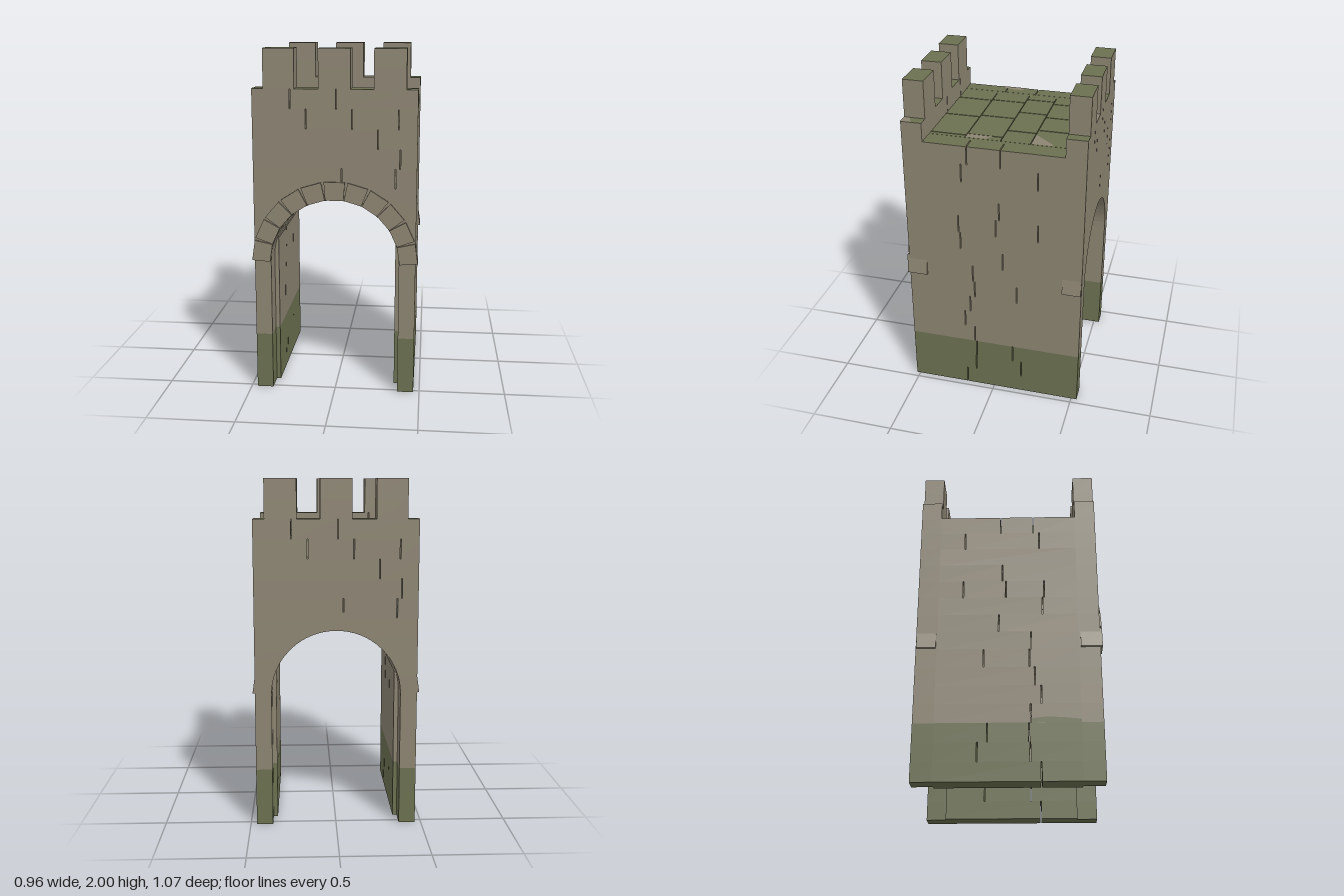
import * as THREE from 'three';

const ROW = 1 / 9;          // height of one stone course
const HALF = 0.465;         // half width of the gatehouse
const SPRING = 0.78;        // height where the arch begins
const RADIUS = 0.37;        // arch radius
const GAP = 0.006;          // open joint between stones
const FRONT = [0.40, 0.522], BACK = [-0.535, -0.415];

export function createModel() {
  const stone = new THREE.MeshStandardMaterial({ color: 0x8c8472 });
  stone.name = 'stone';
  const moss = new THREE.MeshStandardMaterial({ color: 0x6b7050 });
  moss.name = 'moss';
  const mossTop = [stone, stone, moss, stone, stone, stone];

  const model = new THREE.Group();
  model.name = 'gatehouse';
  const section = (name) => {
    const g = new THREE.Group();
    g.name = name;
    model.add(g);
    return g;
  };
  const add = (parent, name, geometry, material) => {
    const mesh = new THREE.Mesh(geometry, material);
    mesh.name = name;
    parent.add(mesh);
    return mesh;
  };
  const block = (parent, name, x0, x1, y0, y1, z0, z1, material) => {
    const geo = new THREE.BoxGeometry(x1 - x0, y1 - y0, z1 - z0);
    geo.translate((x0 + x1) / 2, (y0 + y1) / 2, (z0 + z1) / 2);
    return add(parent, name, geo, material);
  };
  const extrude = (points, z0, z1) => {
    const shape = new THREE.Shape(points.map(([x, y]) => new THREE.Vector2(x, y)));
    const geo = new THREE.ExtrudeGeometry(shape, { depth: z1 - z0, bevelEnabled: false });
    return geo.translate(0, 0, z0);
  };
  // Splits a span at its joints, leaving a narrow gap at each
  const spans = (a, b, joints) => {
    const cuts = [a, ...[...joints].sort((p, q) => p - q), b];
    return cuts.slice(1).map((end, i) => [
      cuts[i] + (i ? GAP / 2 : 0),
      end - (i < joints.length ? GAP / 2 : 0),
    ]);
  };
  const rowMaterial = (k) => (k < 3 ? moss : stone);
  const archX = (y) => Math.sqrt(Math.max(0, RADIUS ** 2 - (y - SPRING) ** 2));

  // Front and back walls: jambs, courses cut by the arch, courses above, battlements
  const upperJoints = {
    11: [0.04, 0.345], 12: [0.37], 13: [0.245], 14: [-0.16, 0.10, 0.36], 15: [-0.25, 0.01],
  };
  const endWall = (name, [z0, z1], flip) => {
    const wall = section(name);
    for (let k = 0; k < 16; k++) {
      const y0 = k * ROW, y1 = y0 + ROW;
      if (k < 7) {
        block(wall, 'jambStone', -HALF, -RADIUS, y0, y1, z0, z1, rowMaterial(k));
        block(wall, 'jambStone', RADIUS, HALF, y0, y1, z0, z1, rowMaterial(k));
      } else if (k < 11) {
        const top = Math.min(y1, SPRING + RADIUS);
        for (const s of [-1, 1]) {
          const pts = [[s * HALF, y0], [s * HALF, y1]];
          if (y1 > top) pts.push([0, y1]);
          for (let i = 0; i <= 5; i++) {
            const y = top + (y0 - top) * (i / 5) ** 2;
            pts.push([s * (y < SPRING ? RADIUS : archX(y)), y]);
          }
          add(wall, 'archCourseStone', extrude(pts, z0, z1), stone);
        }
      } else {
        const joints = upperJoints[k].map((x) => x * flip);
        for (const [a, b] of spans(-HALF, HALF, joints)) {
          block(wall, 'wallStone', a, b, y0, y1, z0, z1, k === 15 ? mossTop : stone);
        }
      }
    }
    for (const [a, b] of [[-0.40, -0.225], [-0.09, 0.09], [0.22, 0.40]]) {
      block(wall, 'merlonLower', a, b, 16 * ROW, 17 * ROW, z0, z1, stone);
      block(wall, 'merlonUpper', a, b, 17 * ROW, 2, z0, z1, mossTop);
    }
  };
  endWall('frontWall', FRONT, 1);
  endWall('backWall', BACK, -1);

  // Side walls, slightly thicker below the spring of the vault
  const sideJoints = [
    [0.175], [0.115, -0.175], [0.11, -0.12], [0.12], [0.18], [0.145], [0.115, -0.145],
    [0.125], [-0.06], [0.195], [0.205, -0.02, -0.27], [-0.04], [], [0.18, -0.265], [0.145, -0.05],
  ];
  for (const s of [-1, 1]) {
    const wall = section(s < 0 ? 'rightWall' : 'leftWall');
    sideJoints.forEach((joints, k) => {
      const inner = k < 8 ? 0.345 : RADIUS + 0.005;
      const x0 = s < 0 ? -HALF : inner, x1 = s < 0 ? -inner : HALF;
      for (const [a, b] of spans(BACK[1], FRONT[0], joints)) {
        block(wall, 'sideStone', x0, x1, k * ROW, (k + 1) * ROW, a, b, k === 14 ? mossTop : rowMaterial(k));
      }
    });
  }

  // Barrel vault in three bands
  const vault = section('vault');
  const ring = [];
  for (let i = 0; i <= 16; i++) {
    const a = (i / 16) * Math.PI;
    ring.push([RADIUS * Math.cos(a), SPRING + RADIUS * Math.sin(a)]);
  }
  for (let i = 16; i >= 0; i--) {
    const a = (i / 16) * Math.PI;
    ring.push([0.44 * Math.cos(a), SPRING + 0.44 * Math.sin(a)]);
  }
  for (const [a, b] of spans(BACK[1], FRONT[0], [-0.14, 0.13])) {
    add(vault, 'vaultBand', extrude(ring, a, b), stone);
  }

  // Eleven wedge stones around each arch
  const archStones = (name, z0, z1) => {
    const arch = section(name);
    const wedge = [[-0.052, RADIUS], [0.052, RADIUS], [0.06, 0.475], [-0.06, 0.475]];
    for (let i = -5; i <= 5; i++) {
      const stoneMesh = add(arch, 'archStone', extrude(wedge, z0, z1), stone);
      stoneMesh.position.y = SPRING;
      stoneMesh.rotation.z = (i * Math.PI) / 11;
    }
  };
  archStones('frontArch', 0.41, 0.534);
  archStones('backArch', -0.532, -0.42);

  // Roof paving over a solid bed
  const roof = section('roof');
  const top = 15 * ROW;
  block(roof, 'roofBed', -0.36, 0.36, 1.56, 1.645, BACK[1], FRONT[0], stone);
  const paving = [
    [-0.415, -0.192, [-0.25, -0.04, 0.15]],
    [-0.192, -0.02, [-0.285, -0.08, 0.195]],
    [-0.02, 0.188, [-0.23, 0.02, 0.295]],
    [0.188, 0.40, [-0.22, 0.045, 0.315]],
  ];
  for (const [z0, z1, joints] of paving) {
    for (const [a, b] of spans(-0.345, 0.345, joints)) {
      block(roof, 'pavingSlab', a, b, 1.6, top, z0 + 0.002, z1 - 0.002, moss);
    }
  }
  for (const s of [-1, 1]) {
    block(roof, 'roofEdge', s * 0.36 - 0.015, s * 0.36 + 0.015, 1.6, top - 0.001, BACK[1], FRONT[0], moss);
  }

  // Bare stone patches on the mossy tops, given as x, z outlines
  const patches = section('barePatches');
  const patch = (y, points) => {
    const shape = new THREE.Shape(points.map(([x, z]) => new THREE.Vector2(x, -z)));
    const geo = new THREE.ShapeGeometry(shape).rotateX(-Math.PI / 2).translate(0, y + 0.002, 0);
    add(patches, 'barePatch', geo, stone);
  };
  patch(top, [[0.215, -0.196], [0.345, -0.196], [0.345, -0.32], [0.32, -0.31]]);
  patch(top, [[0.299, 0.04], [0.335, 0.06], [0.345, 0.08], [0.345, 0.186], [0.299, 0.186]]);
  patch(top, [[-0.465, 0], [-0.45, 0.04], [-0.43, 0.04], [-0.425, 0.1], [-0.435, 0.15], [-0.465, 0.19]]);
  patch(16 * ROW, [[0.09, -0.535], [0.22, -0.535], [0.22, -0.44], [0.09, -0.46]]);
  patch(16 * ROW, [[0.155, 0.44], [0.19, 0.41], [0.22, 0.402], [0.22, 0.45], [0.165, 0.455]]);
  patch(16 * ROW, [[-0.465, 0.48], [-0.402, 0.465], [-0.402, 0.522], [-0.465, 0.522]]);
  patch(16 * ROW, [[0.402, 0.49], [0.465, 0.46], [0.465, 0.522], [0.402, 0.522]]);

  // Moss creeping above the mossy courses on the right wall
  const creep = new THREE.Shape([[0.123, 0.333], [0.40, 0.333], [0.40, 0.352], [0.3, 0.362], [0.22, 0.367], [0.123, 0.358]]
    .map(([z, y]) => new THREE.Vector2(z, y)));
  const creepGeo = new THREE.ShapeGeometry(creep).rotateY(-Math.PI / 2).translate(-HALF - 0.002, 0, 0);
  add(model, 'mossCreep', creepGeo, moss);

  return model;
}
